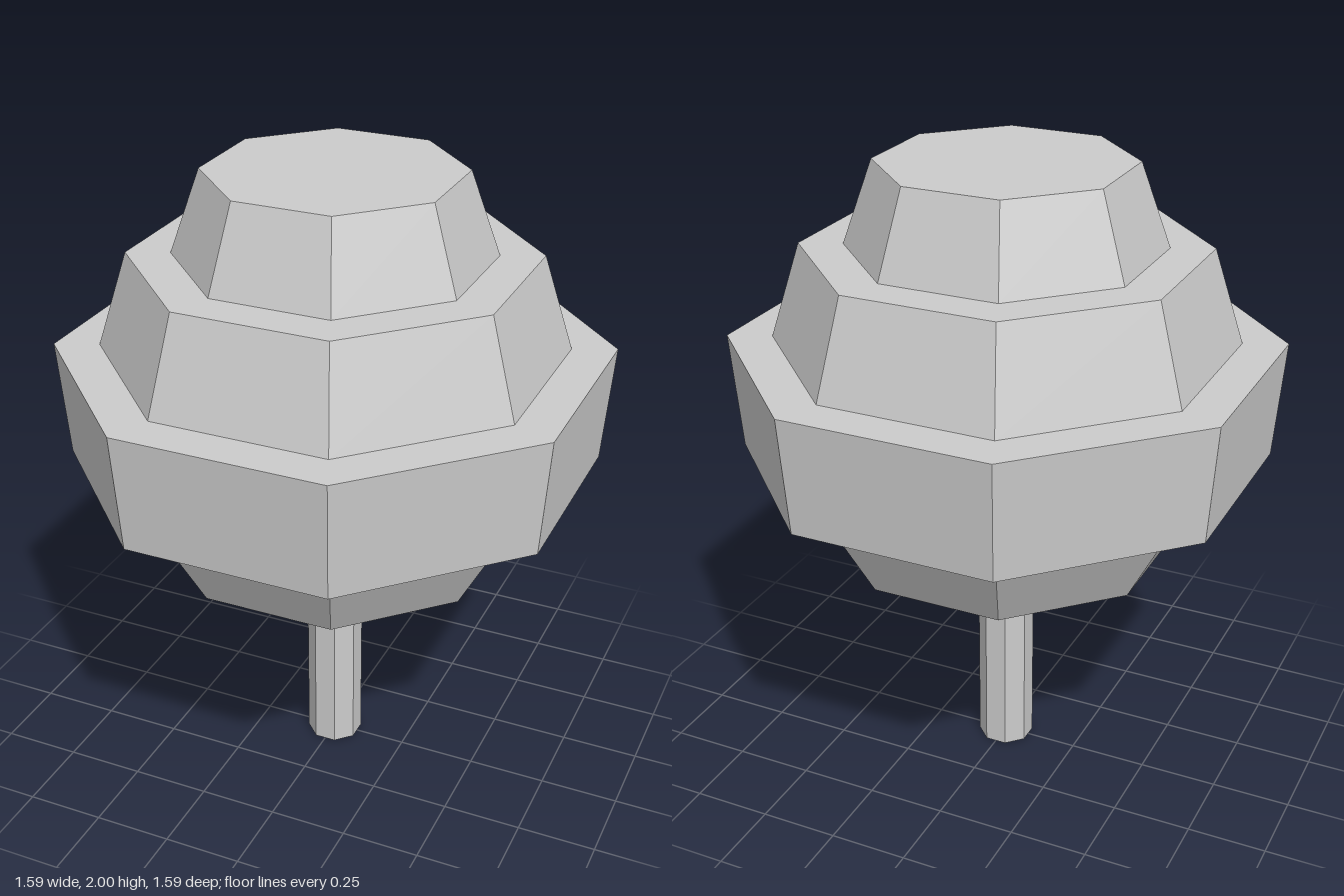
import * as THREE from 'three';

const SIDES = 8;

// Octagonal frustum with flat sides facing the axes, sized by its half widths.
function tier(name, y0, y1, bottom, top, material, open = false) {
  const k = 1 / Math.cos(Math.PI / SIDES);
  const geometry = new THREE.CylinderGeometry(top * k, bottom * k, y1 - y0, SIDES, 1, open);
  geometry.rotateY(Math.PI / SIDES);
  geometry.translate(0, (y0 + y1) / 2, 0);
  const mesh = new THREE.Mesh(geometry, material);
  mesh.name = name;
  return mesh;
}

export function createModel() {
  const group = new THREE.Group();
  group.name = 'tree';
  const leaf = new THREE.MeshStandardMaterial({ color: 0xcccccc, flatShading: true });
  const bark = new THREE.MeshStandardMaterial({ color: 0xcccccc, flatShading: true, side: THREE.DoubleSide });

  // Trunk, open at the bottom
  group.add(tier('trunk', 0, 0.77, 0.083, 0.083, bark, true));

  // Stacked foliage tiers
  group.add(
    tier('lowerFoliage', 0.77, 1.07, 0.499, 0.657, leaf),
    tier('wideFoliage', 1.07, 1.44, 0.767, 0.794, leaf),
    tier('upperFoliage', 1.44, 1.74, 0.664, 0.575, leaf),
    tier('crownFoliage', 1.74, 2, 0.45, 0.364, leaf)
  );
  return group;
}
